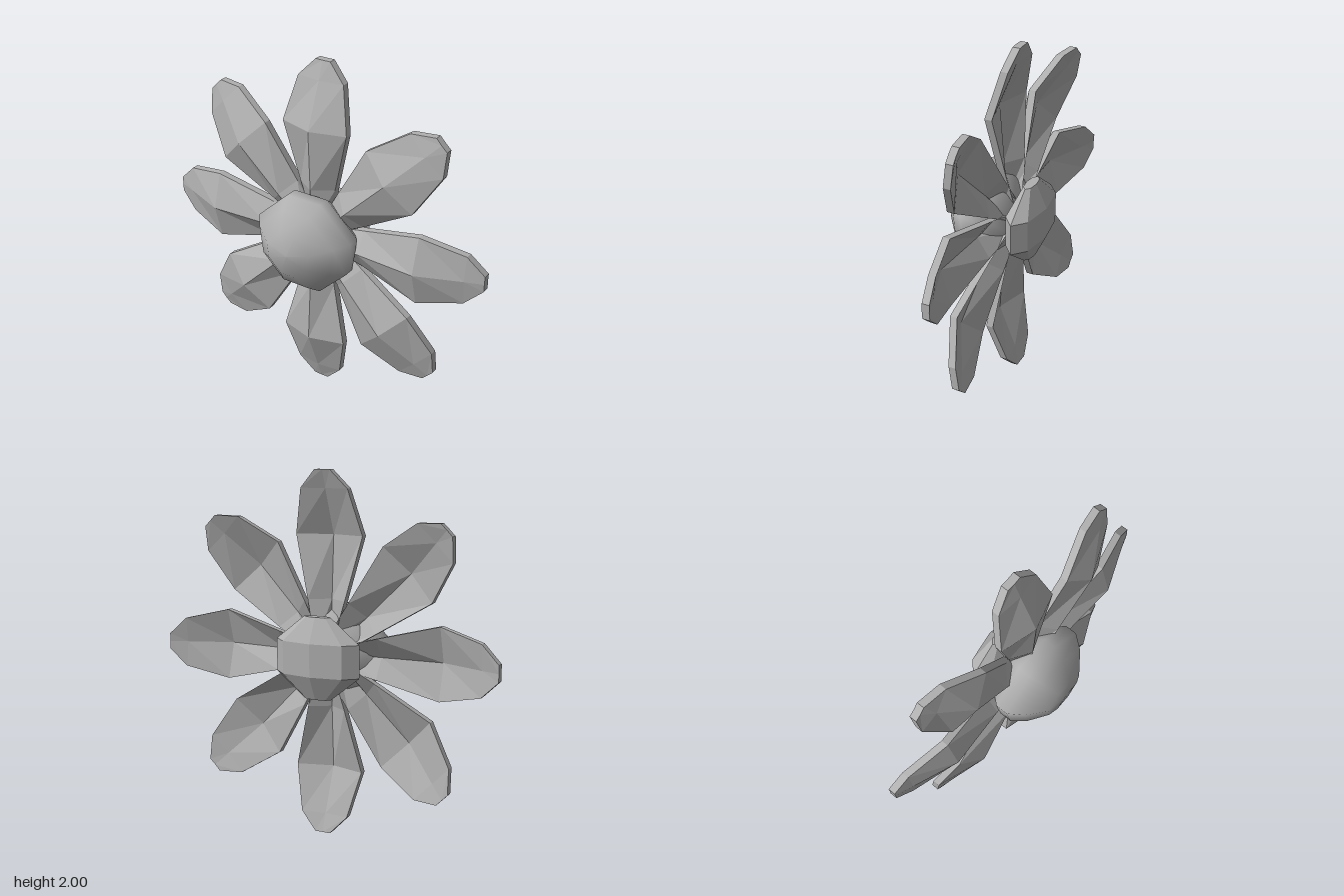
import * as THREE from 'three';
import { mergeVertices } from 'three/addons/utils/BufferGeometryUtils.js';

// Skin a list of equal-length point loops; flat facets, with optional end caps.
function loft(loops, capFaces) {
  const pos = [];
  const quad = (a, b, c, d) => pos.push(...a, ...b, ...c, ...a, ...c, ...d);
  const n = loops[0].length;
  for (let i = 0; i < loops.length - 1; i++) {
    for (let j = 0; j < n; j++) {
      const k = (j + 1) % n;
      quad(loops[i][j], loops[i][k], loops[i + 1][k], loops[i + 1][j]);
    }
  }
  const first = loops[0], last = loops[loops.length - 1];
  for (const [a, b, c, d] of capFaces) {
    quad(last[a], last[b], last[c], last[d]);
    quad(first[d], first[c], first[b], first[a]);
  }
  const g = new THREE.BufferGeometry();
  g.setAttribute('position', new THREE.Float32BufferAttribute(pos, 3));
  g.computeVertexNormals();
  return g;
}

// Creased petal pointing up: [distance, half width, ridge z, edge z]
function petalGeometry() {
  const t = 0.042;
  const sections = [
    [0.06, 0.05, 0.025, -0.065],
    [0.30, 0.112, 0.037, -0.035],
    [0.65, 0.20, 0.057, 0.0],
    [0.90, 0.14, -0.042, -0.06],
    [1.00, 0.045, -0.078, -0.08],
  ];
  const loops = sections.map(([r, w, m, e]) => [
    [-w, r, e], [0, r, m], [w, r, e],
    [w, r, e - t], [0, r, m - t], [-w, r, e - t],
  ]);
  return loft(loops, [[0, 1, 4, 5], [1, 2, 3, 4]]);
}

// Smooth, faceted-outline button: scaled octagons stacked along z
function centreGeometry() {
  const outline = [[0.105, 0.27], [-0.105, 0.27], [-0.298, 0.09], [-0.27, -0.11],
    [-0.105, -0.27], [0.105, -0.27], [0.27, -0.11], [0.298, 0.09]];
  const rings = [[0.001, -0.12], [0.45, -0.1], [0.8, -0.04], [1, 0.03],
    [1, 0.1], [0.81, 0.175], [0.45, 0.255], [0.001, 0.267]];
  const loops = rings.map(([s, z]) => outline.map(([x, y]) => [x * s, y * s, z]));
  let g = loft(loops, []);
  g.deleteAttribute('normal');
  g = mergeVertices(g, 1e-5);
  g.computeVertexNormals();
  return g;
}

// Flat-faceted, flattened barrel behind the petals
function backGeometry() {
  const profile = [[0, -0.225], [0.08, -0.225], [0.25, -0.09],
    [0.25, 0.09], [0.08, 0.225], [0, 0.225]].map(([x, y]) => new THREE.Vector2(x, y));
  const g = new THREE.LatheGeometry(profile, 8).toNonIndexed();
  g.scale(1, 1, 0.37);
  g.computeVertexNormals();
  return g;
}

export function createModel() {
  const group = new THREE.Group();
  group.name = 'flower';
  const grey = new THREE.MeshStandardMaterial({ color: 0xb0b0b0 });
  grey.name = 'grey';

  const add = (geometry, name, z = 0) => {
    const mesh = new THREE.Mesh(geometry, grey);
    mesh.name = name;
    mesh.position.set(0, 1, z);
    group.add(mesh);
    return mesh;
  };

  // Eight petals around the centre
  const petal = petalGeometry();
  for (let i = 0; i < 8; i++) add(petal, `petal${i + 1}`).rotation.z = (i * Math.PI) / 4;

  add(centreGeometry(), 'flowerCentre');
  add(backGeometry(), 'flowerBack', -0.175);
  return group;
}
